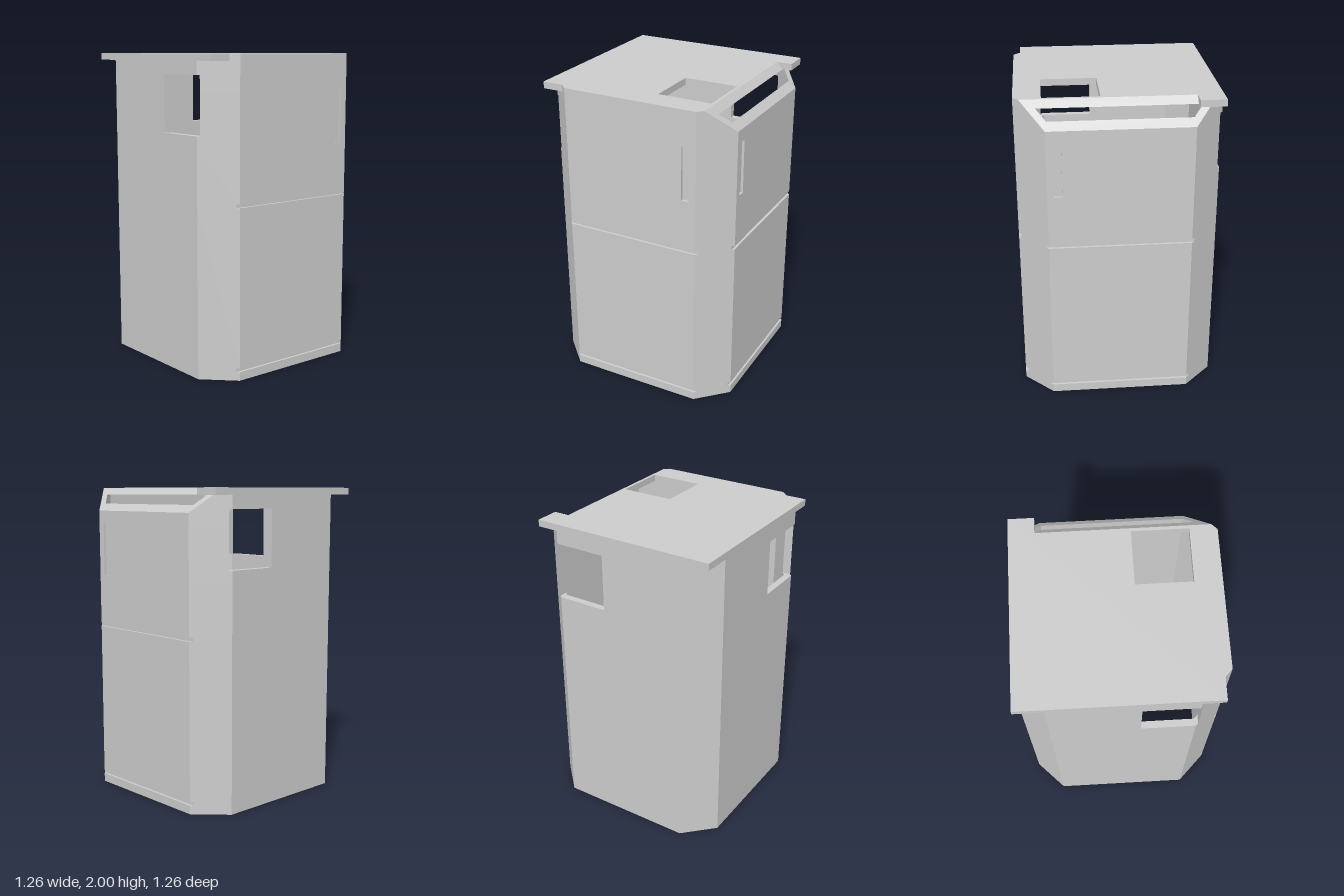
import * as THREE from 'three';
import { mergeGeometries } from 'three/addons/utils/BufferGeometryUtils.js';

const A = 0.628, C = 0.445;   // outer wall plane and start of its corner chamfer
const B = 0.583, E = 0.435;   // inner wall plane and start of its chamfer
const D = 0.016;              // depth of grooves and handle slots
const W0 = 0.109, W1 = 0.459; // span of the square openings
const SO = A + C, SI = B + E; // x + z along the outer and inner chamfers
const S0 = 0.353, S1 = 0.4;   // span of the handle slots
const SLOPE = 2.48;           // x + y along the sloped top
const ROOF = 1.957;           // underside of the roof
const CUT = SLOPE - ROOF;     // where the sloped top starts under the roof
const SILL = SLOPE - A;       // foot of the sloped top

// Plan outline in (x, z), stretched from y0 to y1; the hole runs the other way round
function layer(points, y0, y1, hole) {
  const v = (list) => list.map(([x, z]) => new THREE.Vector2(x, -z));
  const shape = new THREE.Shape(v(points));
  if (hole) shape.holes.push(new THREE.Path(v(hole).reverse()));
  const g = new THREE.ExtrudeGeometry(shape, { depth: y1 - y0, bevelEnabled: false });
  return g.rotateX(-Math.PI / 2).translate(0, y0, 0);
}

// Moves the corners of a geometry by a rule
function reshape(g, rule) {
  const p = g.attributes.position;
  const v = new THREE.Vector3();
  for (let i = 0; i < p.count; i++) {
    v.fromBufferAttribute(p, i);
    rule(v);
    p.setXYZ(i, v.x, v.y, v.z);
  }
  g.computeVertexNormals();
  return g;
}

const inner = [[B, -E], [B, E], [E, B], [-E, B], [-B, E], [-B, -E], [-E, -B], [E, -B]];
const backHalf = [[-A, C], [-A, -C], [-C, -A], [C, -A]];

// Notches for the handle slots on the right and front faces
const slotRight = [[A, S0], [A - D, S0], [A - D, S1], [A, S1]];
const slotFront = [[S1, A], [S1, A - D], [S0, A - D], [S0, A]];

const plain = [[A, -C], [A, C], [C, A], [-C, A], ...backHalf];
const slotted = [[A, -C], ...slotRight, [A, C], [C, A], ...slotFront, [-C, A], ...backHalf];
const g = C + D, h = A - D;
const grooved = [[h, -g], [h, g], [g, h], [-g, h], ...backHalf];

// Wall sections on either side of the two window openings
const windowFrom = [W1, W1 - SO], windowTo = [W1 - SO, W1];
const innerRun = [[W1 - SI, W1], [-E, B], [E, B], [B, E], [B, -E], [W1, W1 - SI]];
const sidePlain = [windowFrom, [A, -C], [A, C], [C, A], [-C, A], windowTo, ...innerRun];
const sideSlotted = [windowFrom, [A, -C], ...slotRight, [A, C], [C, A], ...slotFront,
  [-C, A], windowTo, ...innerRun];
const backCorner = [[-A, W0], [-A, -C], [-C, -A], [W0, -A], [W0, -B], [-E, -B], [-B, -E], [-B, W0]];

// Wall sections next to the sloped top
const frontSection = [[CUT, SO - CUT], [C, A], [-C, A], windowTo, [W1 - SI, W1],
  [-E, B], [E, B], [CUT, SI - CUT]];
const backStub = [windowFrom, [CUT, CUT - SO], [CUT, CUT - SI], [W1, W1 - SI]];
const lintel = [[CUT, SO - CUT], [C, A], [-C, A], ...backHalf, [CUT, CUT - SO],
  [CUT, CUT - SI], [E, -B], [-E, -B], [-B, -E], [-B, E], [-E, B], [E, B], [CUT, SI - CUT]];
const slopeSection = [[CUT, CUT - SO], [A, -C], [A, C], [CUT, SO - CUT],
  [CUT, SI - CUT], [B, E], [B, -E], [CUT, CUT - SI]];

export function createModel() {
  const group = new THREE.Group();
  const concrete = new THREE.MeshStandardMaterial({ color: 0xcccccc });
  concrete.name = 'concrete grey';
  const add = (name, ...parts) => {
    const mesh = new THREE.Mesh(mergeGeometries(parts), concrete);
    mesh.name = name;
    group.add(mesh);
  };

  // Hollow lower walls with two grooves
  add('lowerWalls',
    layer(plain, 0, 0.055, inner),
    layer(grooved, 0.055, 0.079, inner),
    layer(plain, 0.079, 1.084, inner),
    layer(grooved, 1.084, 1.108, inner));

  // Upper walls with handle slots and window openings
  add('upperWalls',
    layer(plain, 1.108, 1.43, inner),
    layer(slotted, 1.43, 1.512, inner),
    layer(sideSlotted, 1.512, 1.773),
    layer(sidePlain, 1.773, SILL),
    layer(backCorner, 1.512, 1.873),
    layer(frontSection, SILL, 1.873),
    layer(backStub, SILL, 1.873),
    layer(lintel, 1.873, ROOF));

  // Top of the right wall, cut at 45 degrees
  add('slopedRim', reshape(layer(slopeSection, SILL, ROOF), (v) => {
    if (v.y > 1.9) v.y = SLOPE - v.x;
  }));

  // Roof slab with square hatch opening and a sloped right edge
  const edge = SLOPE - 2;
  const outline = [[-A, -A], [B, -A], [B, -0.468], [edge, -0.468], [edge, SO - edge],
    [C, A], [-C, A], [B - SO, B], [-A, B]];
  const hatch = [[W0, W0], [W1, W0], [W1, W1], [W0, W1]];
  add('roof', reshape(layer(outline, ROOF, 2, hatch), (v) => {
    if (v.y < 1.98 && Math.abs(v.x - edge) < 0.001) {
      v.x = CUT;
      if (v.z > 0) v.z = SO - CUT;
    }
  }));

  return group;
}
